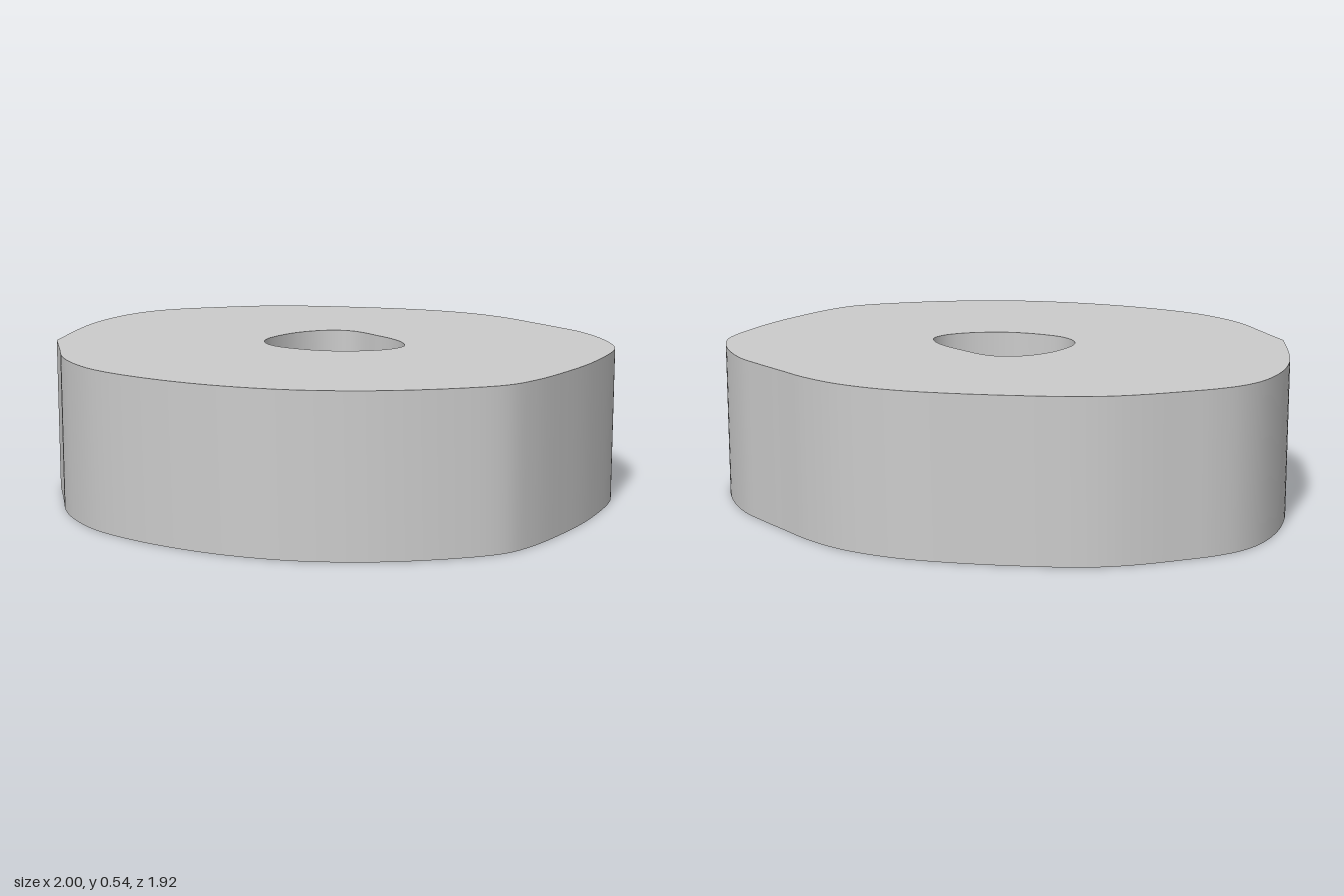
import * as THREE from 'three';
import { toCreasedNormals } from 'three/addons/utils/BufferGeometryUtils.js';

const HEIGHT = 0.54;

// Outer rim and centre hole as [x, z] seen from above; the rim starts at its one sharp corner
const RIM = [
  [-0.96, 0.2], [-0.99, -0.05], [-1, -0.22], [-0.985, -0.4], [-0.94, -0.56], [-0.88, -0.66],
  [-0.8, -0.735], [-0.7, -0.8], [-0.6, -0.86], [-0.5, -0.907], [-0.4, -0.935], [-0.25, -0.953],
  [0, -0.96], [0.2, -0.94], [0.38, -0.88], [0.52, -0.79], [0.62, -0.7], [0.73, -0.6],
  [0.83, -0.5], [0.93, -0.34], [0.99, -0.18], [1, -0.08], [0.96, 0.2], [0.9, 0.41],
  [0.83, 0.59], [0.76, 0.7], [0.6, 0.81], [0.4, 0.9], [0.22, 0.945], [0.07, 0.957],
  [-0.15, 0.935], [-0.4, 0.86], [-0.6, 0.755], [-0.73, 0.63], [-0.8, 0.53], [-0.87, 0.385],
];
const HOLE = [
  [-0.03, -0.305], [0.03, -0.288], [0.12, -0.215], [0.2, -0.14], [0.25, -0.07], [0.275, 0.01],
  [0.25, 0.08], [0.19, 0.135], [0.1, 0.172], [0.02, 0.182], [-0.08, 0.163], [-0.17, 0.12],
  [-0.22, 0.06], [-0.24, -0.02], [-0.22, -0.12], [-0.17, -0.22], [-0.1, -0.285],
];

// Closed loop through the points in the shape plane (shape y = -z), smooth or with a corner at the start
function smoothLoop(points, hasCorner) {
  const path = points.map(([x, z]) => new THREE.Vector3(x, -z, 0));
  if (hasCorner) path.push(path[0].clone());
  const curve = new THREE.CatmullRomCurve3(path, !hasCorner, 'centripetal');
  return curve.getPoints(points.length * 6).slice(0, -1).map((p) => new THREE.Vector2(p.x, p.y));
}

export function createModel() {
  const group = new THREE.Group();
  group.name = 'piercedDisc';

  // Irregular thick disc with an off-round through hole, wound against the rim
  const shape = new THREE.Shape(smoothLoop(RIM, true));
  shape.holes.push(new THREE.Path(smoothLoop(HOLE, false).reverse()));
  const geometry = new THREE.ExtrudeGeometry(shape, { depth: HEIGHT, bevelEnabled: false });
  geometry.rotateX(-Math.PI / 2);

  const disc = new THREE.Mesh(
    toCreasedNormals(geometry, 0.25),
    new THREE.MeshStandardMaterial({ color: 0xcccccc }));
  disc.name = 'disc';
  group.add(disc);
  return group;
}
